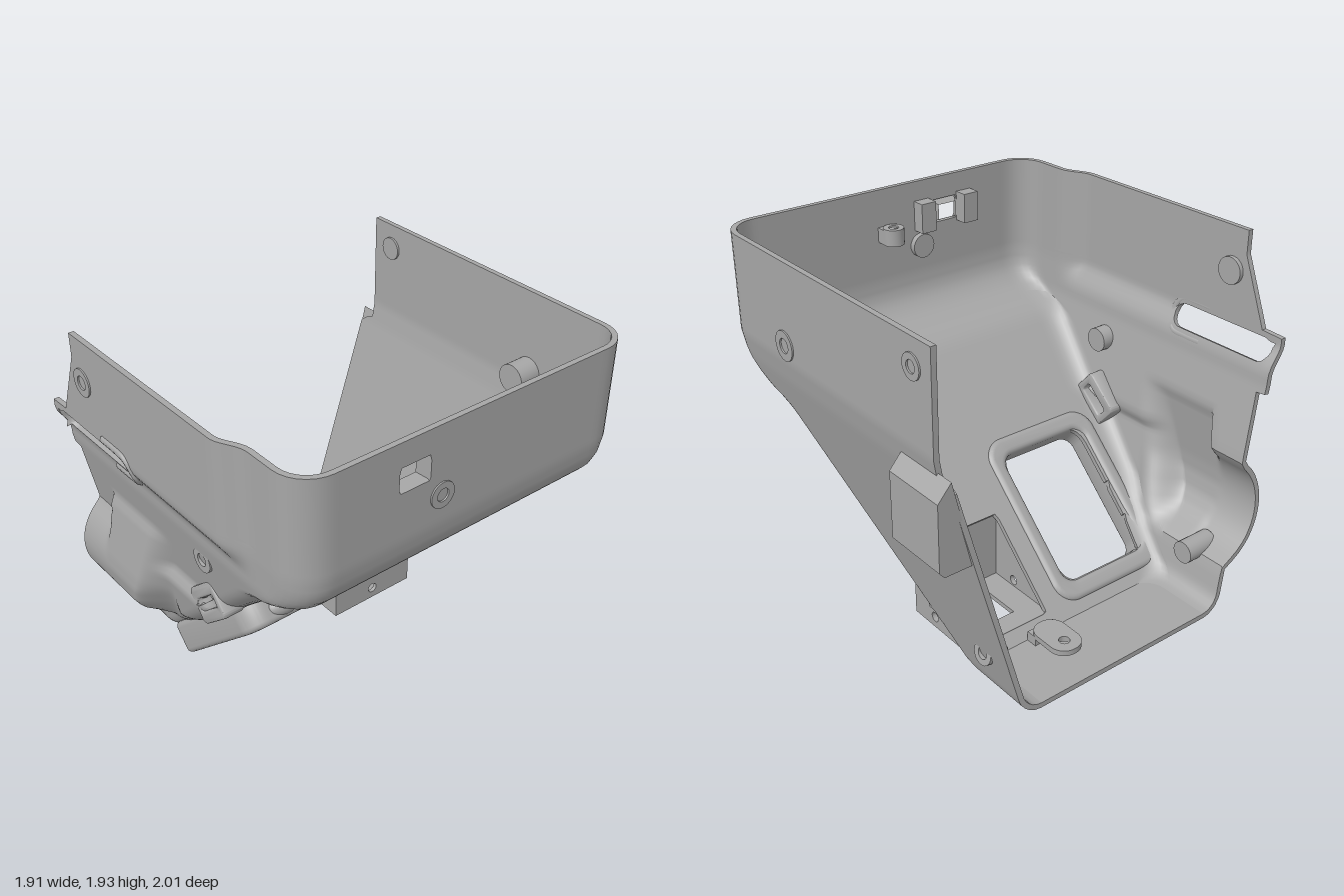
import * as THREE from 'three';
import { toCreasedNormals } from 'three/addons/utils/BufferGeometryUtils.js';

const grey = new THREE.MeshStandardMaterial({ color: 0xa6a6a6, side: THREE.DoubleSide });
grey.name = 'plain grey';
const T = 0.028; // wall thickness
const smooth = THREE.MathUtils.smoothstep;

// piecewise linear lookup, table ordered by rising key
function table(pts, v) {
  if (v <= pts[0][0]) return pts[0][1];
  for (let i = 1; i < pts.length; i++) {
    const [a, p] = pts[i - 1], [b, q] = pts[i];
    if (v <= b) return p + (q - p) * (v - a) / (b - a);
  }
  return pts[pts.length - 1][1];
}

// body outline rules, by height
const FLOOR = 0.03;
const rightX = y => table([[0.03, -0.55], [1.11, 0.61], [1.15, 0.7], [1.175, 0.78], [1.22, 0.86], [1.28, 0.915], [1.34, 0.94], [1.42, 0.95]], y);
const backEdge = y => table([[0.03, -0.95], [1.3, -0.86], [1.33, -0.78]], y);
const frontEdge = y => table([[0.03, -0.95], [1.175, -0.87], [1.18, -0.92], [1.455, -0.92], [1.46, -0.8], [1.8, -0.66]], y);
const corner = y => table([[0.03, 0.12], [1.1, 0.15], [1.4, 0.17]], y);
const edgeRound = y => {
  const r = 0.1, d = Math.max(0, r - (y - FLOOR));
  return r - Math.sqrt(Math.max(0, r * r - d * d));
};
const backZ = y => table([[0.03, -0.61], [1.3, -0.93], [1.42, -0.95]], y) + edgeRound(y);
const bulge = y => table([[0.24, 0.6], [0.27, 0.72], [0.31, 0.8], [0.37, 0.875], [0.45, 0.925], [0.55, 0.945], [0.64, 0.94], [0.97, 0.89], [1.03, 0.85]], y);
function frontZ(x, y) {
  let z = table([[0.03, 0.66], [1.22, 0.92], [1.4, 0.93]], y);
  z += 0.062 * smooth(y, 1.27, 1.42) * (1 - smooth(x, 0.45, 0.62));
  z += 0.05 * (1 - smooth(y, 0.72, 0.8)) * smooth(x, -0.4, -0.2); // shoulder beside the window frame
  const round = 0.63 + Math.sqrt(Math.max(0, 0.1 - (y - 0.57) ** 2));
  const k = smooth(x, -0.71, -0.65), side = table([[0.25, -0.38], [0.6, -0.24], [1, -0.15]], y);
  const b = round * (1 - k) + bulge(y) * k;
  z += Math.max(0, b - z) * (1 - smooth(x, side - 0.16, side + 0.02));
  return z - edgeRound(y);
}

// openings: centre, half sizes, corner radius and turn, in x/y on the front or z/y on the right
const holes = {
  front: [[-0.565, 1.37, 0.315, 0.06, 0.058, 0], [0.12, 0.78, 0.085, 0.032, 0.015, 0.72]],
  right: [[0.345, 0.4, 0.265, 0.25, 0.07, 0], [0.345, 1.735, 0.085, 0.063, 0.002, 0], [-0.315, 0.28, 0.215, 0.19, 0.01, 0]],
};
function holeDistance(list, a, b) {
  return Math.min(...list.map(([cx, cy, hx, hy, r, t]) => {
    const dx = a - cx, dy = b - cy, c = Math.cos(t), s = Math.sin(t);
    const qx = Math.abs(dx * c + dy * s) - hx + r, qy = Math.abs(dy * c - dx * s) - hy + r;
    return Math.hypot(Math.max(qx, 0), Math.max(qy, 0)) + Math.min(Math.max(qx, qy), 0) - r;
  }));
}
// pull a grid point near an opening onto its rim
function snap(list, a, b) {
  const d = holeDistance(list, a, b), e = 1e-4;
  if (Math.abs(d) > 0.017) return [a, b];
  const gx = (holeDistance(list, a + e, b) - d) / e, gy = (holeDistance(list, a, b + e) - d) / e;
  return [a - gx * d, b - gy * d];
}

// U-shaped wall, open at the top and on the left, with thickness and openings
function makeShell() {
  const nW = 54, nC = 7, nR = 50, cols = 2 * nW + 2 * nC + nR, rows = [0.03, 0.036, 0.05, 0.07, 1.175, 1.18, 1.455, 1.46, 1.92];
  for (let y = 0.095; y < 1.91; y += 0.027) rows.push(y);
  rows.sort((a, b) => b - a);
  const kind = i => (i <= nW ? 'back' : i < nW + nC ? 'corner' : i <= nW + nC + nR ? 'right' : i < cols - nW ? 'corner' : 'front');
  const P = [], W = cols + 1;
  for (const y of rows) {
    const xr = rightX(y), R = corner(y), zb = backZ(y), zf = frontZ(xr - R, y);
    for (let i = 0; i <= cols; i++) {
      let x, z, h = y;
      const k = kind(i);
      if (k === 'back') {
        x = THREE.MathUtils.lerp(backEdge(y), xr - R, i / nW); z = zb;
      } else if (k === 'front') {
        x = THREE.MathUtils.lerp(xr - R, frontEdge(y), (i - cols + nW) / nW);
        [x, h] = snap(holes.front, x, y); z = frontZ(x, h);
      } else if (k === 'right') {
        z = THREE.MathUtils.lerp(zb + R, zf - R, (i - nW - nC) / nR);
        [z, h] = snap(holes.right, z, y); x = rightX(h);
      } else {
        const first = i < nW + nC, t = (first ? i - nW : cols - nW - i) / nC * Math.PI / 2;
        x = xr - R + R * Math.sin(t);
        z = first ? zb + R - R * Math.cos(t) : zf - R + R * Math.cos(t);
      }
      P.push(new THREE.Vector3(x, h, z));
    }
  }
  const kept = (i, j) => {
    if (i < 0 || j < 0 || i >= cols || j >= rows.length - 1) return false;
    const a = j * W + i, m = new THREE.Vector3();
    for (const v of [a, a + 1, a + W, a + W + 1]) m.addScaledVector(P[v], 0.25);
    if (i >= cols - nW) return holeDistance(holes.front, m.x, m.y) > 0;
    return i < nW + nC || holeDistance(holes.right, m.z, m.y) > 0;
  };
  const outer = [], rim = [], N = P.length;
  for (let j = 0; j < rows.length - 1; j++) for (let i = 0; i < cols; i++) {
    if (!kept(i, j)) continue;
    const a = j * W + i, b = a + 1, c = a + W, d = c + 1;
    outer.push(a, b, c, b, d, c);
    for (const [p, q, ni, nj] of [[a, b, i, j - 1], [b, d, i + 1, j], [d, c, i, j + 1], [c, a, i - 1, j]])
      if (!kept(ni, nj)) rim.push(q, p, p + N, q, p + N, q + N);
  }
  const geo = new THREE.BufferGeometry().setFromPoints(P);
  geo.setIndex(outer);
  geo.computeVertexNormals();
  const n = geo.attributes.normal;
  const inner = P.map((p, i) => p.clone().addScaledVector(new THREE.Vector3().fromBufferAttribute(n, i), -T));
  const inside = [];
  for (let i = 0; i < outer.length; i += 3) inside.push(outer[i] + N, outer[i + 2] + N, outer[i + 1] + N);
  const full = new THREE.BufferGeometry().setFromPoints([...P, ...inner]);
  full.setIndex([...outer, ...inside, ...rim]);
  return { geo: toCreasedNormals(full, 0.6), bottom: P.slice(-W) };
}

function roundRect(w, h, r, Type = THREE.Shape) {
  const s = new Type(), x = w / 2, y = h / 2;
  s.moveTo(-x + r, -y);
  s.absarc(x - r, -y + r, r, -Math.PI / 2, 0);
  s.absarc(x - r, y - r, r, 0, Math.PI / 2);
  s.absarc(-x + r, y - r, r, Math.PI / 2, Math.PI);
  s.absarc(-x + r, -y + r, r, Math.PI, Math.PI * 1.5);
  return s;
}
const polygon = pts => new THREE.Shape(pts.map(p => new THREE.Vector2(...p)));
const circleHole = (x, y, r) => new THREE.Path().absarc(x, y, r, 0, Math.PI * 2);
const extrude = (shape, depth, bevel = 0) => toCreasedNormals(new THREE.ExtrudeGeometry(shape, {
  depth, bevelEnabled: bevel > 0, bevelSize: bevel, bevelThickness: bevel, bevelOffset: -bevel, bevelSegments: 4, curveSegments: 10,
}), 0.6);

export function createModel() {
  const model = new THREE.Group();
  const add = (name, geo, x = 0, y = 0, z = 0, parent = model) => {
    const m = new THREE.Mesh(geo, grey);
    m.name = name;
    m.position.set(x, y, z);
    parent.add(m);
    return m;
  };

  // walls and floor
  const { geo, bottom } = makeShell();
  add('housingWalls', geo);
  add('housingFloor', extrude(polygon(bottom.map(p => [p.x, -p.z])), T), 0, FLOOR, 0).rotation.x = -Math.PI / 2;

  // raised frame round the large sloping window
  const frame = new THREE.Group();
  frame.name = 'slopingWindowFrame';
  const up = new THREE.Vector3(0.733, 0.68, 0).normalize(), side = new THREE.Vector3(0, 0, 1);
  frame.quaternion.setFromRotationMatrix(new THREE.Matrix4().makeBasis(up, side, up.clone().cross(side)));
  frame.position.set(-0.16, 0.4, 0.355);
  model.add(frame);
  const ring = roundRect(0.93, 0.71, 0.12);
  ring.holes.push(roundRect(0.73, 0.54, 0.07, THREE.Path));
  add('frameRing', extrude(ring, 0.12, 0.03), 0, 0, -0.01, frame);
  for (const [x, y] of [[0.44, 0.13], [-0.38, -0.28]])
    add('frameLump', new THREE.SphereGeometry(1, 20, 14), x, y, 0.07, frame).scale.set(0.065, 0.1, 0.06);

  // box bracket under the slope
  const bracket = new THREE.Group();
  bracket.name = 'boxBracket';
  model.add(bracket);
  const base = polygon([[-0.5, 0.06], [-0.06, 0.06], [-0.06, 0.58], [-0.5, 0.58]]);
  base.holes.push(polygon([[-0.39, 0.22], [-0.18, 0.22], [-0.18, 0.43], [-0.39, 0.43]]));
  add('bracketFloor', extrude(base, 0.025), 0, 0.08, 0, bracket).rotation.x = -Math.PI / 2;
  for (const z of [-0.085, -0.58]) {
    const cheek = polygon([[-0.5, 0.08], [-0.065, 0.08], [-0.045, 0.47]]);
    cheek.holes.push(circleHole(-0.22, 0.14, 0.026));
    add('bracketCheek', extrude(cheek, 0.025), 0, 0, z, bracket);
  }
  const plate = polygon([[0.06, 0.08], [0.58, 0.08], [0.58, 0.47], [0.06, 0.47]]);
  plate.holes.push(circleHole(0.32, 0.145, 0.028));
  add('bracketEndPlate', extrude(plate, 0.02), -0.075, 0, 0, bracket).rotation.y = Math.PI / 2;

  // turned bezel on the front
  const bezel = roundRect(0.25, 0.19, 0.03);
  bezel.holes.push(roundRect(0.17, 0.064, 0.015, THREE.Path));
  add('frontBezel', extrude(bezel, 0.09, 0.012), 0.12, 0.78, 0.755).rotation.z = 0.72;

  // lip round the closed end of the front slot
  const lip = [[-0.46, 1.455], [-0.36, 1.455], [-0.27, 1.445], [-0.225, 1.37], [-0.27, 1.295], [-0.36, 1.285], [-0.46, 1.285]]
    .map(([x, y]) => new THREE.Vector3(x, y, frontZ(x, y) - 0.008));
  add('slotLip', new THREE.TubeGeometry(new THREE.CatmullRomCurve3(lip), 40, 0.022, 8));

  // tapered window in the right wall, with blocks inside
  const funnel = new THREE.CylinderGeometry(0.12, 0.078, 0.06, 4, 1, true).toNonIndexed();
  funnel.rotateY(Math.PI / 4);
  funnel.rotateZ(-Math.PI / 2);
  funnel.scale(1, 0.75, 1);
  funnel.computeVertexNormals();
  add('windowFunnel', funnel, 0.92, 1.735, 0.345);
  for (const z of [0.2, 0.475]) add('windowBlock', new THREE.BoxGeometry(0.08, 0.16, 0.09), 0.89, 1.735, z);

  // screw bosses: position, outward direction, radius, length inwards
  const bosses = [
    [-0.58, 1.7, frontZ(-0.58, 1.7), 0, 0, 1, 0.07, 0.05],
    [0.18, 1.1, frontZ(0.18, 1.1), 0, 0, 1, 0.065, 0.09],
    [-0.73, 0.29, 0.79, 0, 0, 1, 0.06, 0.18],
    [0.95, 1.57, 0.19, 1, 0, 0, 0.065, 0.06],
    [0.38, 1.5, backZ(1.5), 0, 0, -1, 0.075, 0.15],
    [-0.65, 1.79, backZ(1.79), 0, 0, -1, 0.06, 0.04],
    [-0.74, 0.3, backZ(0.3), 0, 0.2, -1, 0.06, 0.07],
    [0.86, 1.72, -0.02, 0, 1, 0, 0.055, 0.08],
  ];
  for (const [x, y, z, dx, dy, dz, r, len] of bosses) {
    const profile = [[0, -len], [r, -len], [r, 0.008], [r * 0.5, 0.008], [r * 0.45, -0.025], [0, -0.025]];
    const g = toCreasedNormals(new THREE.LatheGeometry(profile.map(p => new THREE.Vector2(...p)), 24), 0.6);
    add('screwBoss', g, x, y, z).quaternion.setFromUnitVectors(new THREE.Vector3(0, 1, 0), new THREE.Vector3(dx, dy, dz).normalize());
  }
  add('bossWeb', new THREE.BoxGeometry(0.08, 0.08, 0.11), 0.9, 1.68, -0.02);

  // wedge clip on the back wall
  const wedge = polygon([[0.93, 1.36], [1, 1.28], [1, 0.95], [0.975, 0.92], [0.82, 0.92]]);
  add('backClip', extrude(wedge, 0.34), -0.87, 0, 0).rotation.y = Math.PI / 2;
  // local axes: depth runs along +x, shape x runs along -z

  // small tab and rib on the floor
  const tab = roundRect(0.26, 0.17, 0.08);
  tab.holes.push(circleHole(-0.05, 0, 0.028));
  add('floorTab', extrude(tab, 0.03), -0.69, 0.1, -0.19).rotation.x = -Math.PI / 2;
  add('tabFoot', new THREE.BoxGeometry(0.06, 0.08, 0.16), -0.59, 0.07, -0.19);
  add('backRib', new THREE.BoxGeometry(0.5, 0.03, 0.08), -0.56, 0.32, -0.635);
  return model;
}
